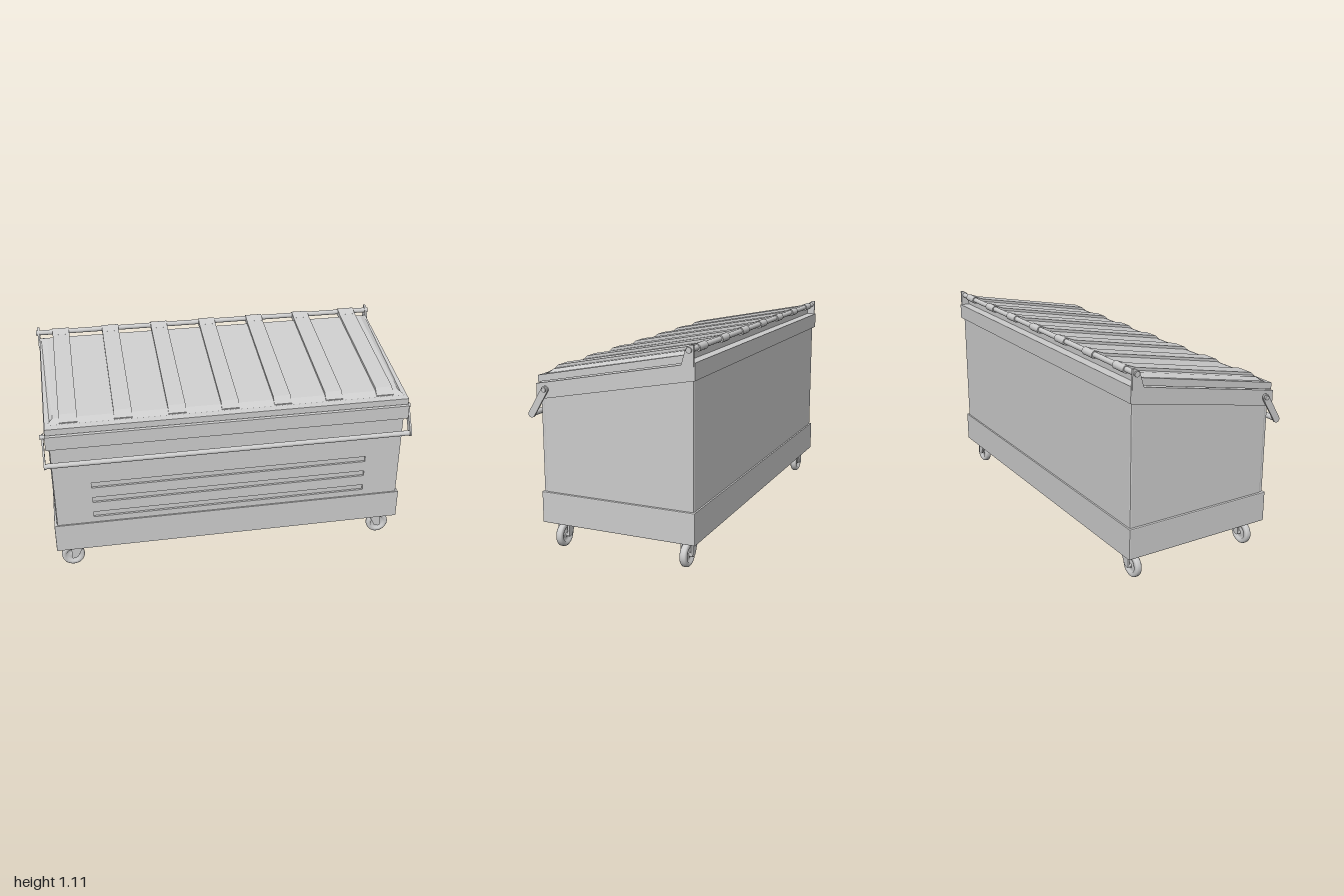
import * as THREE from 'three';

const material = new THREE.MeshStandardMaterial({ color: 0xcccccc });

function add(parent, name, geometry, x = 0, y = 0, z = 0) {
  const mesh = new THREE.Mesh(geometry, material);
  mesh.name = name;
  mesh.position.set(x, y, z);
  parent.add(mesh);
  return mesh;
}

// Side profile given as [z, y] points, extruded along x and centred on x = 0
function prism(profile, width, bevel = 0) {
  const shape = profile instanceof THREE.Shape ? profile
    : new THREE.Shape(profile.map(([z, y]) => new THREE.Vector2(z, y)));
  const geometry = new THREE.ExtrudeGeometry(shape, {
    depth: width - 2 * bevel, bevelEnabled: bevel > 0, bevelSize: bevel,
    bevelThickness: bevel, bevelOffset: -bevel, bevelSegments: 2, curveSegments: 12,
  });
  geometry.translate(0, 0, bevel - width / 2);
  return geometry.rotateY(-Math.PI / 2);
}

// Round rod lying along x
function rod(radius, length) {
  return new THREE.CylinderGeometry(radius, radius, length, 20).rotateZ(Math.PI / 2);
}

// Flat bar with round ends between two points
function capsuleShape(a, b, r) {
  const angle = Math.atan2(b[1] - a[1], b[0] - a[0]);
  const shape = new THREE.Shape();
  shape.absarc(b[0], b[1], r, angle - Math.PI / 2, angle + Math.PI / 2, false);
  shape.absarc(a[0], a[1], r, angle + Math.PI / 2, angle + Math.PI * 1.5, false);
  shape.closePath();
  return shape;
}

function rectanglePath(Type, x0, y0, x1, y1) {
  return new Type([[x0, y0], [x1, y0], [x1, y1], [x0, y1]].map(p => new THREE.Vector2(...p)));
}

// Caster whose wheel rolls along x
function createCaster() {
  const caster = new THREE.Group();
  caster.name = 'caster';
  const wheelProfile = [
    [0.001, -0.012], [0.016, -0.012], [0.018, -0.008], [0.036, -0.008], [0.04, -0.018],
    [0.055, -0.018], [0.061, -0.013], [0.063, -0.006], [0.063, 0.006], [0.061, 0.013],
    [0.055, 0.018], [0.04, 0.018], [0.036, 0.008], [0.018, 0.008], [0.016, 0.012], [0.001, 0.012],
  ].map(p => new THREE.Vector2(...p));
  add(caster, 'wheel', new THREE.LatheGeometry(wheelProfile, 32).rotateX(Math.PI / 2), 0, 0.064, 0);
  add(caster, 'axle', new THREE.CylinderGeometry(0.01, 0.01, 0.066, 16).rotateX(Math.PI / 2), 0, 0.064, 0);
  add(caster, 'forkTop', new THREE.BoxGeometry(0.075, 0.014, 0.066), -0.03, 0.139, 0);
  const plate = new THREE.Shape();
  plate.moveTo(-0.068, 0.146);
  plate.lineTo(-0.026, 0.064);
  plate.quadraticCurveTo(-0.015, 0.054, 0.002, 0.055);
  plate.quadraticCurveTo(0.012, 0.058, 0.008, 0.085);
  plate.lineTo(0.008, 0.146);
  plate.closePath();
  for (const z of [-0.033, 0.023]) {
    add(caster, 'forkPlate',
      new THREE.ExtrudeGeometry(plate, { depth: 0.01, bevelEnabled: false }), 0, 0, z);
  }
  return caster;
}

export function createModel() {
  const model = new THREE.Group();
  model.name = 'wasteContainer';

  // Container body with a sloping top
  add(model, 'body', prism(
    [[0.38, 0.16], [0.38, 0.865], [-0.434, 1.015], [-0.434, 0.16]], 1.92, 0.008));

  // Front panel with three long recesses
  const panel = rectanglePath(THREE.Shape, -0.955, 0.16, 0.955, 0.86);
  for (const y of [0.36, 0.453, 0.546]) {
    panel.holes.push(rectanglePath(THREE.Path, -0.757, y - 0.016, 0.757, y + 0.016));
  }
  add(model, 'frontPanel',
    new THREE.ExtrudeGeometry(panel, { depth: 0.017, bevelEnabled: false }), 0, 0, 0.375);

  // Base band and sloping rim
  add(model, 'baseBand', prism(
    [[0.4, 0.146], [0.4, 0.31], [-0.443, 0.31], [-0.443, 0.146]], 1.945, 0.005));
  add(model, 'rim', prism(
    [[0.408, 0.793], [0.408, 0.87], [-0.385, 1.02], [-0.385, 1.033], [-0.447, 1.033],
      [-0.447, 0.949], [0.36, 0.797]], 1.95));

  // Lid: lip, shallow raised panel with sloped ends, and ribs
  const lid = new THREE.Group();
  lid.name = 'lid';
  model.add(lid);
  add(lid, 'lidLip', prism(
    [[0.4, 0.877], [0.4, 0.911], [-0.395, 1.066], [-0.395, 1.028]], 1.94));
  const lidPanel = prism(
    [[0.375, 0.9], [0.365, 0.918], [0.335, 0.94], [-0.37, 1.077], [-0.392, 1.066], [-0.392, 1.04]], 1.92);
  const p = lidPanel.attributes.position;
  for (let i = 0; i < p.count; i++) {
    const height = p.getY(i) - (0.911 + (0.4 - p.getZ(i)) * 0.195);
    if (height > 0.001) p.setX(i, p.getX(i) * (1 - height * 2.2));
  }
  lidPanel.computeVertexNormals();
  add(lid, 'lidPanel', lidPanel);
  const ribProfile = [[0.362, 0.91], [0.362, 0.925], [0.328, 0.956], [-0.372, 1.092],
    [-0.395, 1.081], [-0.395, 1.05]];
  for (let i = -3; i <= 3; i++) {
    const x = i * 0.2825;
    add(lid, 'lidRib', prism(ribProfile, 0.094), x);
    add(lid, 'hingeTab', prism(
      [[-0.385, 1.06], [-0.37, 1.092], [-0.415, 1.109], [-0.415, 1.075]], 0.094), x);
    add(lid, 'hingeKnuckle', rod(0.02, 0.094), x, 1.089, -0.419);
  }

  // Hinge rod and its end brackets
  add(model, 'hingeRod', rod(0.014, 1.975), 0, 1.09, -0.419);
  const bracket = [[-0.376, 1.015], [-0.4, 1.095], [-0.408, 1.105], [-0.425, 1.115],
    [-0.44, 1.115], [-0.44, 1.015]];
  for (const side of [-1, 1]) {
    add(model, 'hingeBracket', prism(bracket, 0.012), side * 0.973);
  }

  // Swinging front bar with its two arms
  const pivot = [0.353, 0.845], grip = [0.432, 0.715];
  for (const side of [-1, 1]) {
    add(model, 'handleArm', prism(capsuleShape(pivot, grip, 0.018), 0.01), side * 0.986);
    add(model, 'handlePivot', rod(0.012, 0.04), side * 0.98, pivot[1], pivot[0]);
  }
  add(model, 'handleBar', rod(0.014, 1.97), 0, grip[1], grip[0]);

  // Four casters, mirrored left to right
  for (const z of [0.327, -0.368]) {
    for (const side of [-1, 1]) {
      const caster = createCaster();
      if (side < 0) caster.rotation.y = Math.PI;
      caster.position.set(side * 0.887, 0, z);
      model.add(caster);
    }
  }
  return model;
}
